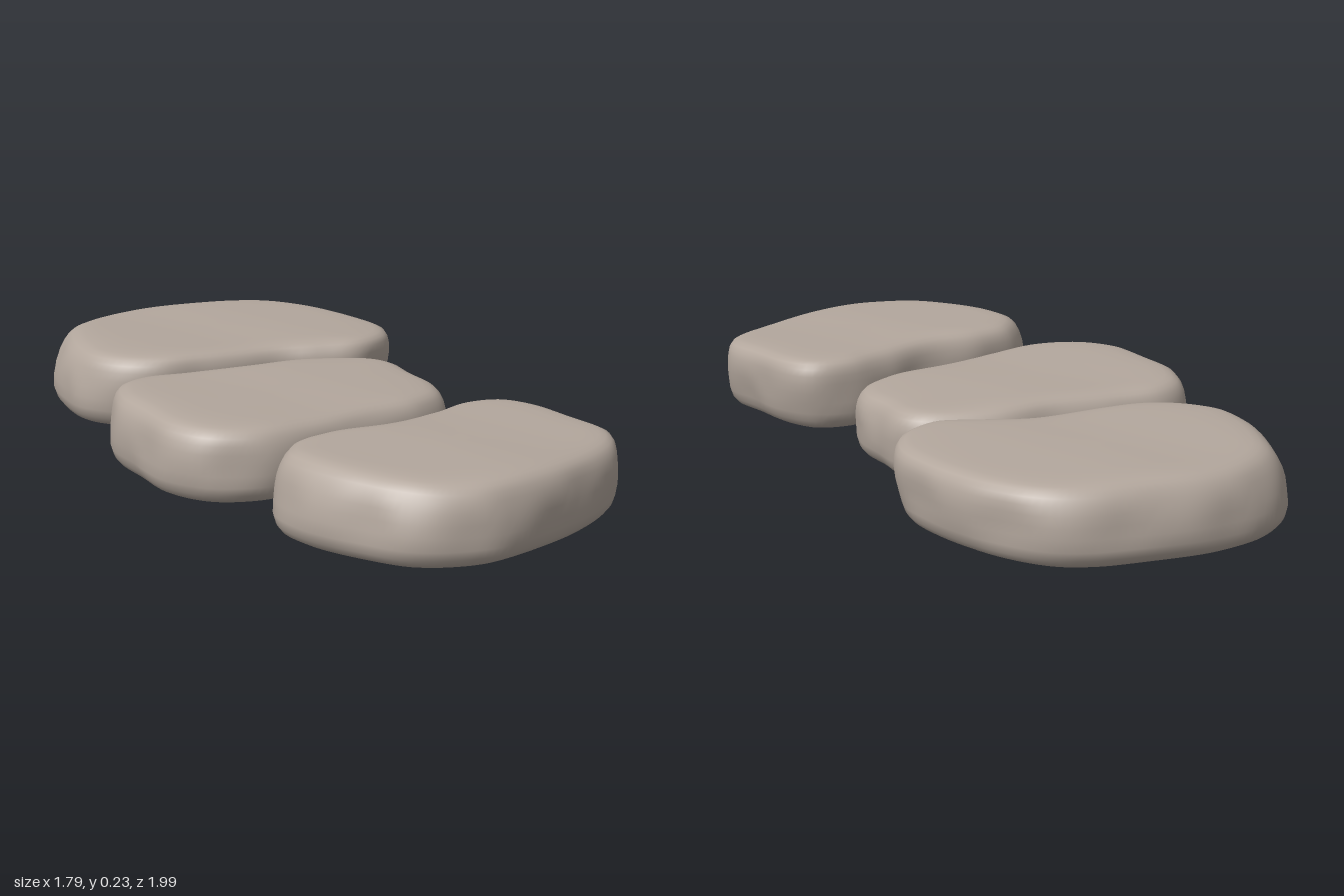
import * as THREE from 'three';

const SEG = 120;

// Outlines as x, z pairs; lean widens the bevel on the side it points to.
// tilt is the slope of the top along x and z.
const STONES = [
  {
    name: 'backStone', height: 0.217, lean: [-0.9, -0.1], tilt: [0.012, 0.015], phase: 0.4,
    outline: [-0.35, -1.0, -0.18, -0.945, 0, -0.81, 0.095, -0.69, 0.115, -0.565, 0.06, -0.44, -0.05, -0.38,
      -0.19, -0.325, -0.35, -0.205, -0.47, -0.125, -0.59, -0.1, -0.72, -0.135, -0.8, -0.225, -0.87, -0.37,
      -0.9, -0.515, -0.86, -0.67, -0.76, -0.8, -0.6, -0.91, -0.47, -0.98],
  },
  {
    name: 'middleStone', height: 0.208, lean: [0, 0.1], tilt: [-0.02, 0.005], phase: 2.1,
    outline: [0.1, -0.357, 0.2, -0.325, 0.275, -0.23, 0.355, -0.13, 0.385, -0.015, 0.335, 0.115, 0.23, 0.23,
      0.095, 0.405, -0.02, 0.525, -0.17, 0.57, -0.31, 0.52, -0.42, 0.395, -0.515, 0.27, -0.55, 0.125,
      -0.5, 0.01, -0.38, -0.075, -0.23, -0.175, -0.085, -0.295],
  },
  {
    name: 'frontStone', height: 0.22, lean: [-0.3, 0.6], tilt: [-0.018, 0.012], phase: 4.3,
    outline: [0.545, 0.093, 0.655, 0.13, 0.77, 0.23, 0.87, 0.325, 0.895, 0.435, 0.84, 0.615, 0.745, 0.785,
      0.615, 0.935, 0.44, 0.993, 0.275, 0.95, 0.125, 0.87, 0.04, 0.77, 0.04, 0.63, 0.12, 0.52,
      0.25, 0.415, 0.35, 0.265, 0.43, 0.145],
  },
];

// Side profile from underside to top: inset from the outline, fraction of height
const PROFILE = [
  [0.065, 0], [0.045, 0.015], [0.025, 0.06], [0.01, 0.14], [0.002, 0.25], [0, 0.4], [0, 0.54],
  [0.003, 0.67], [0.009, 0.78], [0.018, 0.87], [0.031, 0.935], [0.048, 0.97], [0.068, 0.988],
];
const CAP = [0.9, 0.75, 0.55, 0.35, 0.15];

function stoneGeometry({ outline, height, lean, tilt, phase }) {
  const pts = [];
  for (let i = 0; i < outline.length; i += 2) pts.push(new THREE.Vector3(outline[i], 0, outline[i + 1]));
  const curve = new THREE.CatmullRomCurve3(pts, true, 'centripetal');
  const rim = curve.getSpacedPoints(SEG).slice(0, SEG);
  const centre = rim.reduce((c, p) => c.add(p), new THREE.Vector3()).divideScalar(SEG);

  const rings = [];
  const topY = (x, z) => height + tilt[0] * (x - centre.x) + tilt[1] * (z - centre.z)
    + 0.004 * Math.sin(5 * x + 3 * z + phase) + 0.002 * Math.sin(11 * z - 7 * x + phase);

  // Rounded sides, offset along the outline normals with slight hewn unevenness
  for (const [inset, level] of PROFILE) {
    rings.push(rim.map((p, i) => {
      const a = rim[(i + SEG - 2) % SEG], b = rim[(i + 2) % SEG];
      const n = new THREE.Vector3(b.z - a.z, 0, a.x - b.x).normalize();
      if (n.dot(p.clone().sub(centre)) < 0) n.negate();
      const t = (i / SEG) * Math.PI * 2;
      const slope = (n.x * lean[0] + n.z * lean[1]) * 0.06 * Math.max(0, level - 0.3);
      const rough = 0.004 * Math.sin(level * Math.PI) * (Math.sin(9 * t + 4 * level + phase) - 1)
        * Math.cos(5 * t - 3 * level);
      const q = p.clone().addScaledVector(n, -inset - slope - Math.abs(rough));
      q.y = level * topY(q.x, q.z);
      return q;
    }));
  }

  // Gently uneven top and flat underside, both closing on the centre
  const inward = (ring, s, top) => ring.map((p) => {
    const q = p.clone().lerp(centre, 1 - s);
    q.y = top ? topY(q.x, q.z) : 0;
    return q;
  });
  const first = rings[0], last = rings[rings.length - 1];
  for (const s of CAP) {
    rings.push(inward(last, s, true));
    rings.unshift(inward(first, s, false));
  }

  const position = [], index = [];
  rings.forEach((r) => r.forEach((p) => position.push(p.x, p.y, p.z)));
  for (let r = 0; r < rings.length - 1; r++) {
    for (let i = 0; i < SEG; i++) {
      const j = (i + 1) % SEG, a = r * SEG + i, b = r * SEG + j;
      index.push(a, a + SEG, b, b, a + SEG, b + SEG);
    }
  }
  const low = position.length / 3, high = low + 1, end = (rings.length - 1) * SEG;
  position.push(centre.x, 0, centre.z, centre.x, topY(centre.x, centre.z), centre.z);
  for (let i = 0; i < SEG; i++) {
    const j = (i + 1) % SEG;
    index.push(low, i, j, high, end + j, end + i);
  }

  const geometry = new THREE.BufferGeometry();
  geometry.setAttribute('position', new THREE.Float32BufferAttribute(position, 3));
  geometry.setIndex(index);
  geometry.computeVertexNormals();
  return geometry;
}

export function createModel() {
  const group = new THREE.Group();
  group.name = 'steppingStones';
  const stone = new THREE.MeshStandardMaterial({ color: 0xb3a79d });
  stone.name = 'warm grey stone';
  for (const spec of STONES) {
    const mesh = new THREE.Mesh(stoneGeometry(spec), stone);
    mesh.name = spec.name;
    group.add(mesh);
  }
  return group;
}
